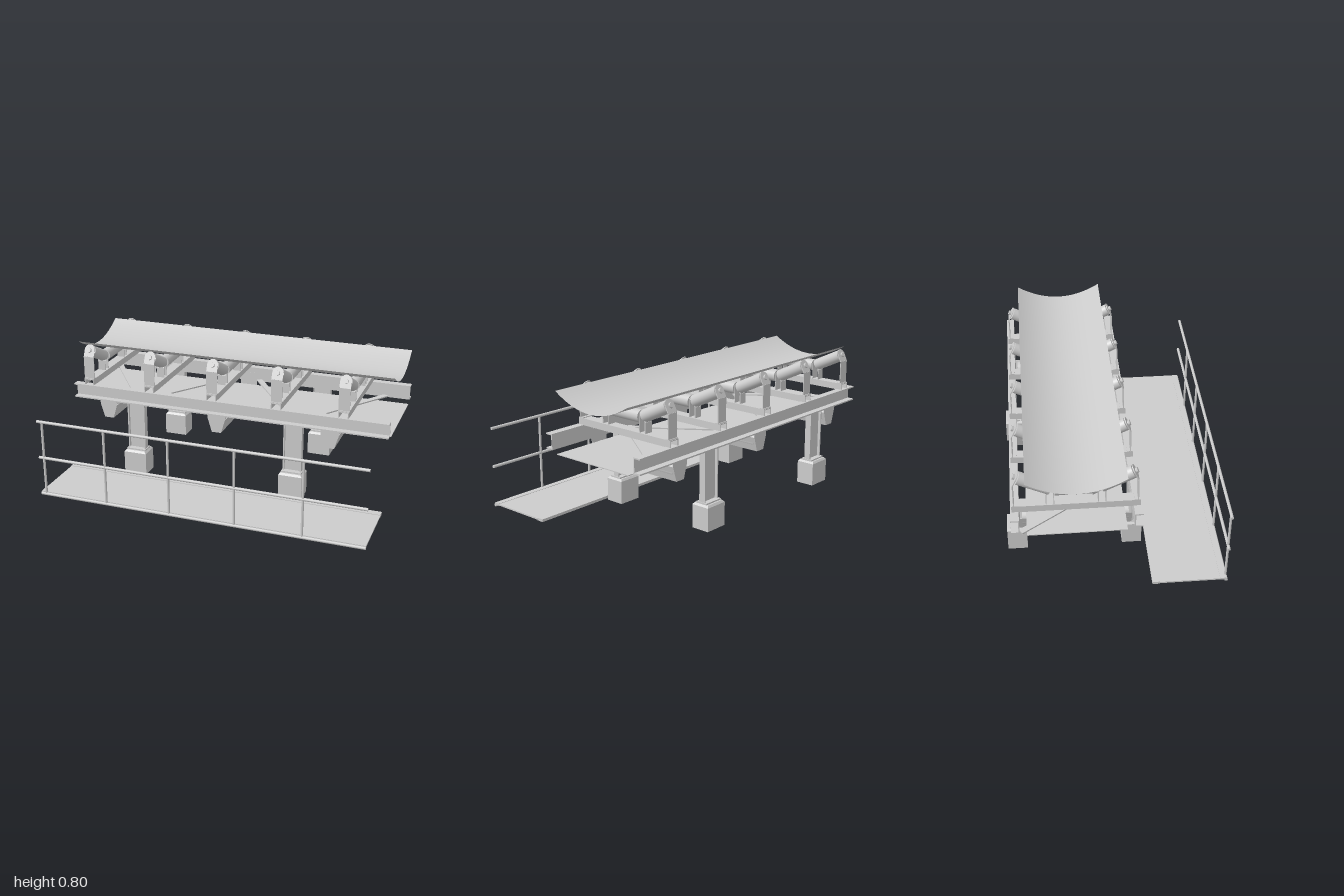
import * as THREE from 'three';

const MID = -0.229; // centre line of the conveyor in z
const grey = new THREE.MeshStandardMaterial({ color: 0xcccccc, side: THREE.DoubleSide });

function add(parent, name, geo, x = 0, y = 0, z = 0) {
  const m = new THREE.Mesh(geo, grey);
  m.name = name;
  m.position.set(x, y, z);
  parent.add(m);
  return m;
}
const box = (p, name, w, h, d, x, y, z) => add(p, name, new THREE.BoxGeometry(w, h, d), x, y, z);

function group(parent, name, x = 0, y = 0, z = 0) {
  const g = new THREE.Group();
  g.name = name;
  g.position.set(x, y, z);
  parent.add(g);
  return g;
}

// Cylinder whose axis lies in the yz plane, tilted up from +z by an angle
function roller(p, name, r, len, y, z, tilt = 0, seg = 32) {
  const m = add(p, name, new THREE.CylinderGeometry(r, r, len, seg), 0, y, z);
  m.rotation.x = Math.PI / 2 - tilt;
  return m;
}

// Cylinder along x
function pipeX(p, name, r, len, y, z) {
  add(p, name, new THREE.CylinderGeometry(r, r, len, 12), 0, y, z).rotation.z = Math.PI / 2;
}

function prism(points, depth) {
  const s = new THREE.Shape(points.map(([x, y]) => new THREE.Vector2(x, y)));
  const g = new THREE.ExtrudeGeometry(s, { depth, bevelEnabled: false });
  return g.translate(0, 0, -depth / 2);
}

// Upright plate that bends inwards and ends in a rounded eye
function bentPlate(p, name, w, y0, yBend, z, tilt, len) {
  box(p, name, w, yBend - y0, 0.005, 0, (y0 + yBend) / 2, z);
  const s = new THREE.Shape();
  const r = w / 2;
  s.moveTo(-r, 0);
  s.lineTo(r, 0);
  s.lineTo(r, len - r);
  s.absarc(0, len - r, r, 0, Math.PI, false);
  s.closePath();
  const g = new THREE.ExtrudeGeometry(s, { depth: 0.005, bevelEnabled: false, curveSegments: 12 });
  g.translate(0, 0, -0.0025);
  add(p, name, g, 0, yBend, z).rotation.x = -tilt;
}

function troughIdler(parent, x) {
  const g = group(parent, 'troughIdler', x, 0, MID);
  const tilt = 0.455;
  // inverted channel cross beam
  box(g, 'crossBeamTop', 0.062, 0.005, 0.69, 0, 0.5855, 0);
  for (const s of [-1, 1]) box(g, 'crossBeamSide', 0.005, 0.04, 0.69, s * 0.0285, 0.568, 0);
  roller(g, 'centreRoller', 0.036, 0.226, 0.673, 0);
  roller(g, 'centreShaft', 0.01, 0.25, 0.673, 0, 0, 12);
  for (const s of [0, 1]) {
    const side = group(g, 'idlerSide');
    side.rotation.y = s * Math.PI;
    roller(side, 'wingRoller', 0.036, 0.19, 0.721, 0.222, tilt);
    roller(side, 'wingShaft', 0.011, 0.236, 0.721, 0.222, tilt, 12);
    roller(side, 'shaftNut', 0.016, 0.012, 0.771, 0.324, tilt, 6);
    bentPlate(side, 'outerBracket', 0.068, 0.588, 0.73, 0.332, tilt, 0.079);
    bentPlate(side, 'innerBracket', 0.05, 0.588, 0.65, 0.159, tilt, 0.068);
    box(side, 'centreBracket', 0.05, 0.11, 0.004, 0, 0.643, 0.118);
    box(side, 'bracketFoot', 0.066, 0.005, 0.03, 0, 0.59, 0.326);
  }
}

function returnIdler(parent, x) {
  const g = group(parent, 'returnIdler', x, 0, MID);
  // open trough with sloping sides
  const outline = [[-0.056, 0.42], [-0.03, 0.333], [0.03, 0.333], [0.056, 0.42],
    [0.052, 0.42], [0.027, 0.337], [-0.027, 0.337], [-0.052, 0.42]];
  add(g, 'returnTrough', prism(outline, 0.618));
  roller(g, 'returnRoller', 0.046, 0.586, 0.391, 0);
  const plate = [[-0.056, 0.515], [-0.056, 0.42], [-0.03, 0.333], [0.03, 0.333], [0.056, 0.42], [0.056, 0.515]];
  for (const s of [-1, 1]) add(g, 'troughEndPlate', prism(plate, 0.004), 0, 0, s * 0.308);
}

function leg(parent, x, s) {
  const g = group(parent, 'leg', x, 0, MID + s * 0.332);
  // H-section post
  for (const k of [-1, 1]) box(g, 'postFlange', 0.008, 0.3, 0.04, k * 0.053, 0.315, 0);
  box(g, 'postWeb', 0.1, 0.3, 0.007, 0, 0.315, 0);
  box(g, 'basePlate', 0.125, 0.01, 0.074, 0, 0.165, 0);
  box(g, 'footing', 0.146, 0.138, 0.113, 0, 0.081, 0);
  // chamfered cap of the footing
  const cap = new THREE.CylinderGeometry(0.84 * Math.SQRT1_2, Math.SQRT1_2, 0.012, 4, 1);
  cap.rotateY(Math.PI / 4).scale(0.146, 1, 0.113);
  const flat = cap.toNonIndexed();
  flat.computeVertexNormals();
  add(g, 'footingCap', flat, 0, 0.156, 0);
}

function sideRail(parent, s) {
  const g = group(parent, 'sideRail', 0, 0, MID);
  g.rotation.y = s > 0 ? 0 : Math.PI;
  // channel opening outwards
  box(g, 'railWeb', 2, 0.088, 0.006, 0, 0.505, 0.31);
  for (const y of [0.464, 0.546]) box(g, 'railFlange', 2, 0.008, 0.046, 0, y, 0.33);
}

function belt(parent) {
  // curved sheet: a plane bent across its width
  const geo = new THREE.PlaneGeometry(2, 0.534, 1, 32).rotateX(-Math.PI / 2);
  const p = geo.attributes.position;
  for (let i = 0; i < p.count; i++) p.setY(i, 0.716 + 0.084 * (p.getZ(i) / 0.267) ** 2);
  geo.computeVertexNormals();
  add(parent, 'carryingBelt', geo, 0, 0, MID);
  box(parent, 'returnBelt', 2, 0.005, 0.54, 0, 0.443, MID);
}

function brace(parent, x0, z0, x1, z1) {
  const len = Math.hypot(x1 - x0, z1 - z0);
  const m = box(parent, 'diagonalBrace', len, 0.008, 0.035, (x0 + x1) / 2, 0.471, (z0 + z1) / 2);
  m.rotation.y = -Math.atan2(z1 - z0, x1 - x0);
}

function walkway(parent) {
  const g = group(parent, 'walkway');
  box(g, 'walkwayDeck', 2, 0.009, 0.42, 0, 0.018, 0.397);
  box(g, 'deckEdgeInner', 2, 0.016, 0.042, 0, 0.018, 0.206);
  box(g, 'deckEdgeOuter', 2, 0.014, 0.036, 0, 0.018, 0.588);
  pipeX(g, 'toeRail', 0.01, 2, 0.01, 0.604);
  pipeX(g, 'middleRail', 0.009, 2, 0.247, 0.604);
  pipeX(g, 'handRail', 0.009, 2, 0.479, 0.604);
  for (let i = 0; i < 5; i++)
    add(g, 'railPost', new THREE.CylinderGeometry(0.0075, 0.0075, 0.465, 12), -0.968 + i * 0.401, 0.245, 0.604);
}

export function createModel() {
  const model = new THREE.Group();
  model.name = 'beltConveyor';
  belt(model);
  for (let i = 0; i < 5; i++) troughIdler(model, -0.898 + i * 0.407);
  for (const x of [-0.787, -0.064, 0.645]) returnIdler(model, x);
  for (const s of [-1, 1]) {
    sideRail(model, s);
    for (const x of [-0.58, 0.432]) leg(model, x, s);
  }
  // V-shaped bracing between the side rails
  for (const x of [-0.58, 0.432])
    for (const s of [-1, 1]) brace(model, x, 0.06, x + s * 0.42, -0.53);
  walkway(model);
  return model;
}
